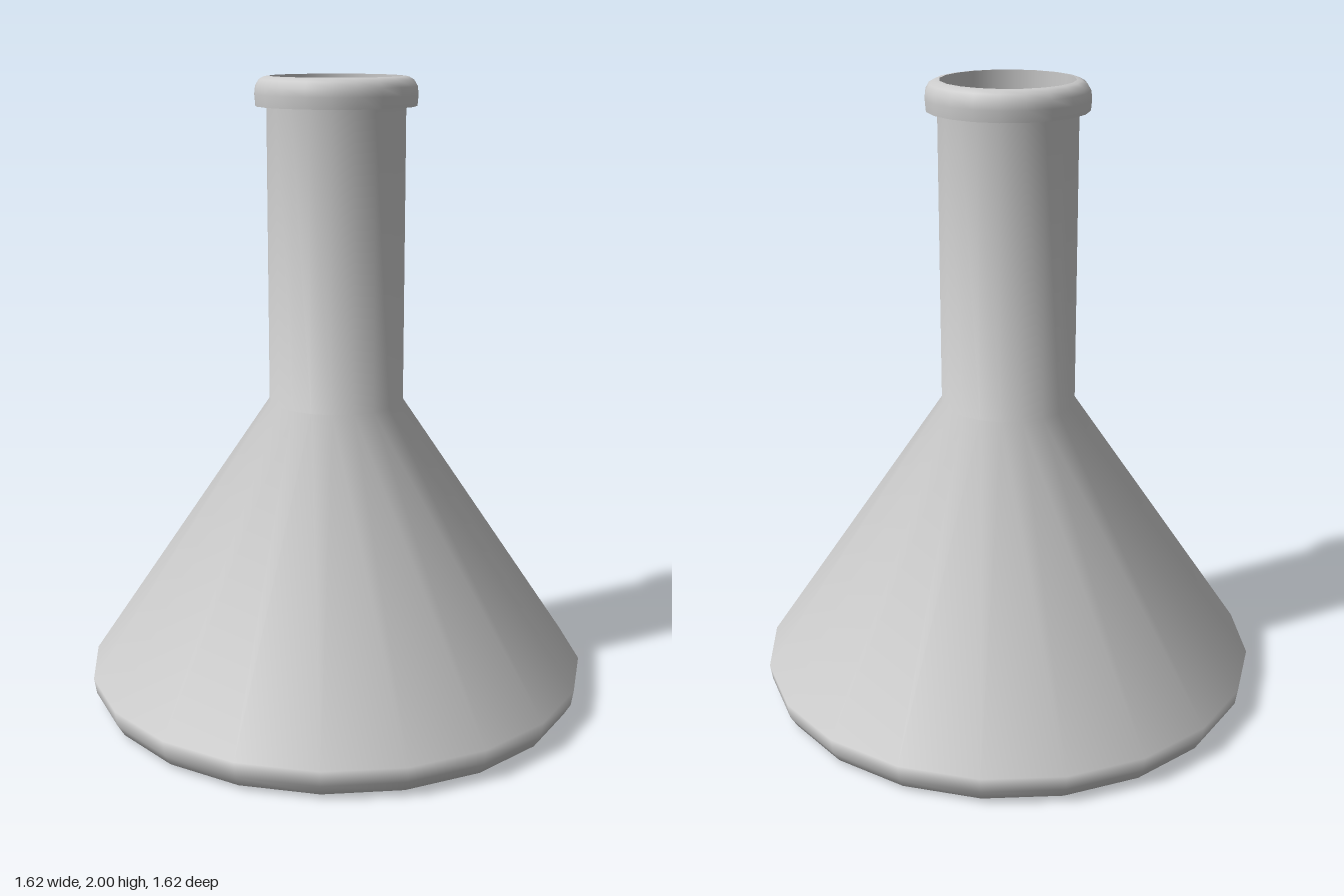
import * as THREE from 'three';

const SIDES = 20;

export function createModel() {
  const group = new THREE.Group();
  const material = new THREE.MeshStandardMaterial({ color: 0xcccccc });

  // Revolves a profile of [radius, height]; upward profiles face outward
  const turn = (name, profile) => {
    const points = profile.map(([r, y]) => new THREE.Vector2(r, y));
    const mesh = new THREE.Mesh(new THREE.LatheGeometry(points, SIDES), material);
    mesh.name = name;
    group.add(mesh);
  };

  // Flat underside
  turn('base', [[0, 0], [0.745, 0]]);

  // Rounded foot, conical body and straight neck in one smooth skin
  turn('body', [
    [0.745, 0], [0.78, 0.013], [0.802, 0.05], [0.81, 0.1],
    [0.215, 0.985], [0.215, 1.91],
  ]);

  // Lip: flat underside, rounded outside, open mouth
  turn('lipUnderside', [[0.212, 1.91], [0.249, 1.91]]);
  turn('lip', [
    [0.249, 1.91], [0.252, 1.945], [0.249, 1.97], [0.238, 1.989], [0.222, 1.998], [0.206, 2],
  ]);

  // Shallow recess inside the mouth
  turn('mouthWall', [[0.206, 2], [0.206, 1.873]]);
  turn('mouthFloor', [[0.206, 1.873], [0, 1.873]]);

  return group;
}
